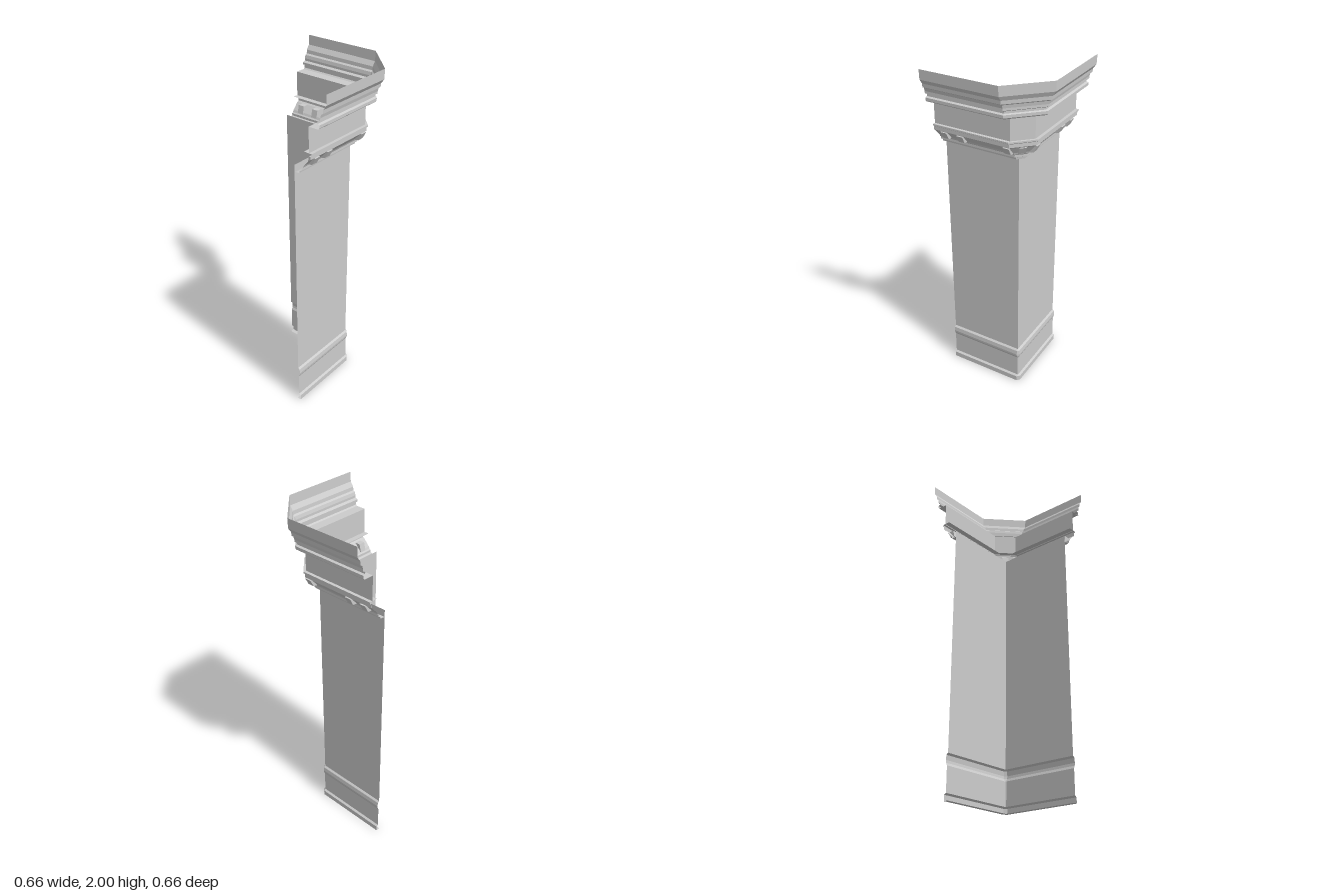
import * as THREE from 'three';

const END = 0.33;      // free ends of both walls
const CORNER = 0.128;  // wall face; anything further out is chamfered at the corner

const material = new THREE.MeshStandardMaterial({
  color: 0xcccccc, flatShading: true, side: THREE.DoubleSide,
});

// Plan of the corner at distance d from the axes: back wall, chamfer, side wall
function plan(d) {
  const c = Math.min(d, CORNER);
  return [[-END, -d], [c, -d], [d, -c], [d, END]];
}

// Sweep a profile of [distance, height] points (listed downwards) round the corner
function sweep(name, profile) {
  const pos = [];
  for (let i = 0; i < profile.length - 1; i++) {
    const [d0, y0] = profile[i], [d1, y1] = profile[i + 1];
    const top = plan(d0), low = plan(d1);
    for (let k = 0; k < 3; k++) {
      if (k === 1 && d0 <= CORNER && d1 <= CORNER) continue;
      const a = [top[k][0], y0, top[k][1]], b = [top[k + 1][0], y0, top[k + 1][1]];
      const c = [low[k + 1][0], y1, low[k + 1][1]], e = [low[k][0], y1, low[k][1]];
      if (k !== 1 || d0 > CORNER) pos.push(...a, ...b, ...c);
      if (k !== 1 || d1 > CORNER) pos.push(...a, ...c, ...e);
    }
  }
  const geo = new THREE.BufferGeometry();
  geo.setAttribute('position', new THREE.Float32BufferAttribute(pos, 3));
  geo.computeVertexNormals();
  const mesh = new THREE.Mesh(geo, material);
  mesh.name = name;
  return mesh;
}

// Small bracket: side section leaning outwards, extruded to its width
function bracketGeometry() {
  const w = 0.038;
  const s = new THREE.Shape([[0, 1.59], [0.03, 1.595], [0.052, 1.635], [0.01, 1.635]]
    .map(([x, y]) => new THREE.Vector2(x, y)));
  return new THREE.ExtrudeGeometry(s, { depth: w, bevelEnabled: false }).translate(0, 0, -w / 2);
}

export function createModel() {
  const model = new THREE.Group();

  model.add(sweep('cornice', [
    [0.33, 2], [0.328, 1.945], [0.31, 1.92], [0.308, 1.9], [0.297, 1.893],
    [0.292, 1.875], [0.292, 1.862], [0.276, 1.855], [0.276, 1.843],
    [0.288, 1.838], [0.288, 1.822], [0.28, 1.815], [0.222, 1.815],
  ]));
  model.add(sweep('frieze', [[0.222, 1.815], [0.222, 1.672]]));
  model.add(sweep('friezeLedge', [[0.19, 1.676], [0.24, 1.676], [0.24, 1.667], [0.232, 1.662]]));
  model.add(sweep('corbelMoulding', [
    [0.232, 1.662], [0.232, 1.642], [0.222, 1.635], [0.188, 1.597], [0.182, 1.585],
    [0.175, 1.58], [0.175, 1.567], [0.162, 1.562], [0.16, 1.55], [0.14, 1.548], [0.128, 1.545],
  ]));
  model.add(sweep('wall', [[0.128, 1.585], [0.128, 0.245]]));
  model.add(sweep('baseMoulding', [
    [0.128, 0.245], [0.139, 0.236], [0.142, 0.21], [0.14, 0.195], [0.133, 0.18],
  ]));
  model.add(sweep('skirting', [
    [0.133, 0.18], [0.133, 0.04], [0.145, 0.032], [0.145, 0], [0.12, 0],
  ]));

  // Brackets under the ledge, mirrored on both walls, plus one on the chamfer
  const brackets = new THREE.Group();
  brackets.name = 'brackets';
  const geo = bracketGeometry();
  const addBracket = (x, z, turn) => {
    const b = new THREE.Mesh(geo, material);
    b.name = 'bracket';
    b.position.set(x, 0, z);
    b.rotation.y = turn;
    brackets.add(b);
  };
  for (const t of [-0.107, 0.173, 0.273]) {
    addBracket(0.18, t, 0);
    addBracket(-t, -0.18, Math.PI / 2);
  }
  addBracket(0.145, -0.145, Math.PI / 4);
  model.add(brackets);

  return model;
}
